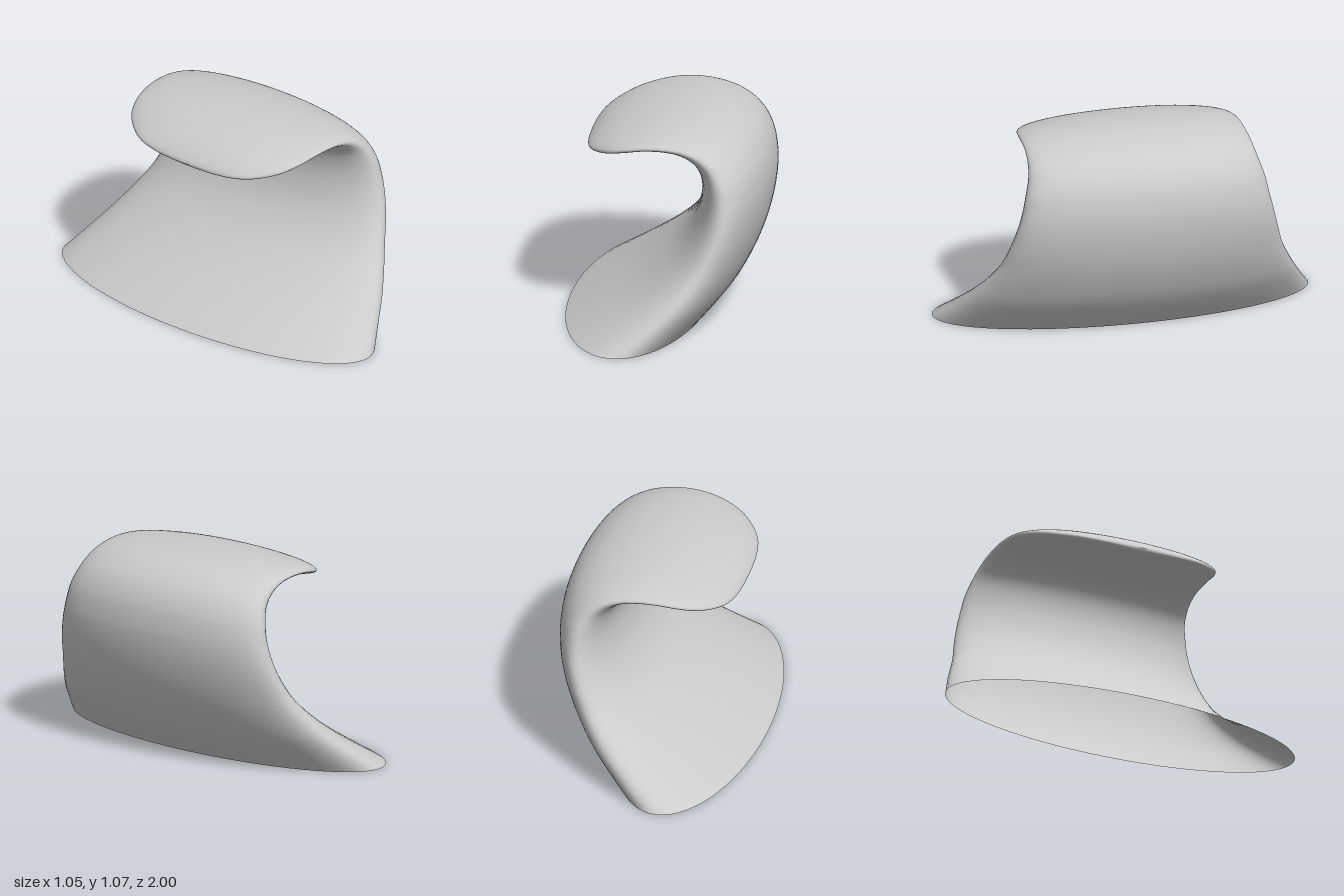
import * as THREE from 'three';

// Sections along the wave: outer x, outer y, inner x, inner y, half depth
const SECTIONS = [
  [0.21, 0, -0.53, 0, 1],
  [0.295, 0.1, -0.36, 0.1, 0.93],
  [0.37, 0.2, -0.2, 0.2, 0.865],
  [0.43, 0.31, -0.07, 0.295, 0.803],
  [0.475, 0.42, 0.03, 0.385, 0.752],
  [0.505, 0.53, 0.105, 0.48, 0.718],
  [0.522, 0.64, 0.155, 0.58, 0.688],
  [0.522, 0.74, 0.18, 0.69, 0.66],
  [0.498, 0.85, 0.178, 0.78, 0.637],
  [0.44, 0.945, 0.155, 0.85, 0.612],
  [0.34, 1.015, 0.115, 0.9, 0.597],
  [0.22, 1.053, 0.06, 0.93, 0.588],
  [0.09, 1.068, -0.01, 0.941, 0.583],
  [-0.04, 1.063, -0.09, 0.937, 0.573],
  [-0.15, 1.045, -0.18, 0.916, 0.55],
  [-0.25, 1.018, -0.27, 0.892, 0.5],
  [-0.34, 0.977, -0.35, 0.881, 0.405],
  [-0.385, 0.947, -0.388, 0.884, 0.32],
  [-0.41, 0.923, -0.41, 0.891, 0.2],
  [-0.42, 0.905, -0.42, 0.905, 0],
];

// Lofts ellipses whose ends follow the outer and inner edge curves
function loft(sections, rings, sides) {
  const edge = (i) => new THREE.CatmullRomCurve3(
    sections.map((s) => new THREE.Vector3(s[i], s[i + 1], s[4])));
  const outer = edge(0), inner = edge(2);
  const positions = [], indices = [];
  for (let r = 0; r <= rings; r++) {
    const o = outer.getPoint(r / rings), n = inner.getPoint(r / rings);
    for (let k = 0; k < sides; k++) {
      const a = (k / sides) * Math.PI * 2;
      const w = (1 + Math.cos(a)) / 2;
      positions.push(n.x + (o.x - n.x) * w, n.y + (o.y - n.y) * w, Math.sin(a) * o.z);
      if (r === rings) continue;
      const p = r * sides + k, q = r * sides + ((k + 1) % sides);
      indices.push(p, p + sides, q, q, p + sides, q + sides);
    }
  }
  const geometry = new THREE.BufferGeometry();
  geometry.setAttribute('position', new THREE.Float32BufferAttribute(positions, 3));
  geometry.setIndex(indices);
  geometry.computeVertexNormals();
  return geometry;
}

export function createModel() {
  const group = new THREE.Group();
  group.name = 'curledWave';

  // Hollow curled shell, open at the base and closed at the tip
  const material = new THREE.MeshStandardMaterial({ color: 0xcccccc, side: THREE.DoubleSide });
  const shell = new THREE.Mesh(loft(SECTIONS, 114, 64), material);
  shell.name = 'waveShell';
  group.add(shell);
  return group;
}
